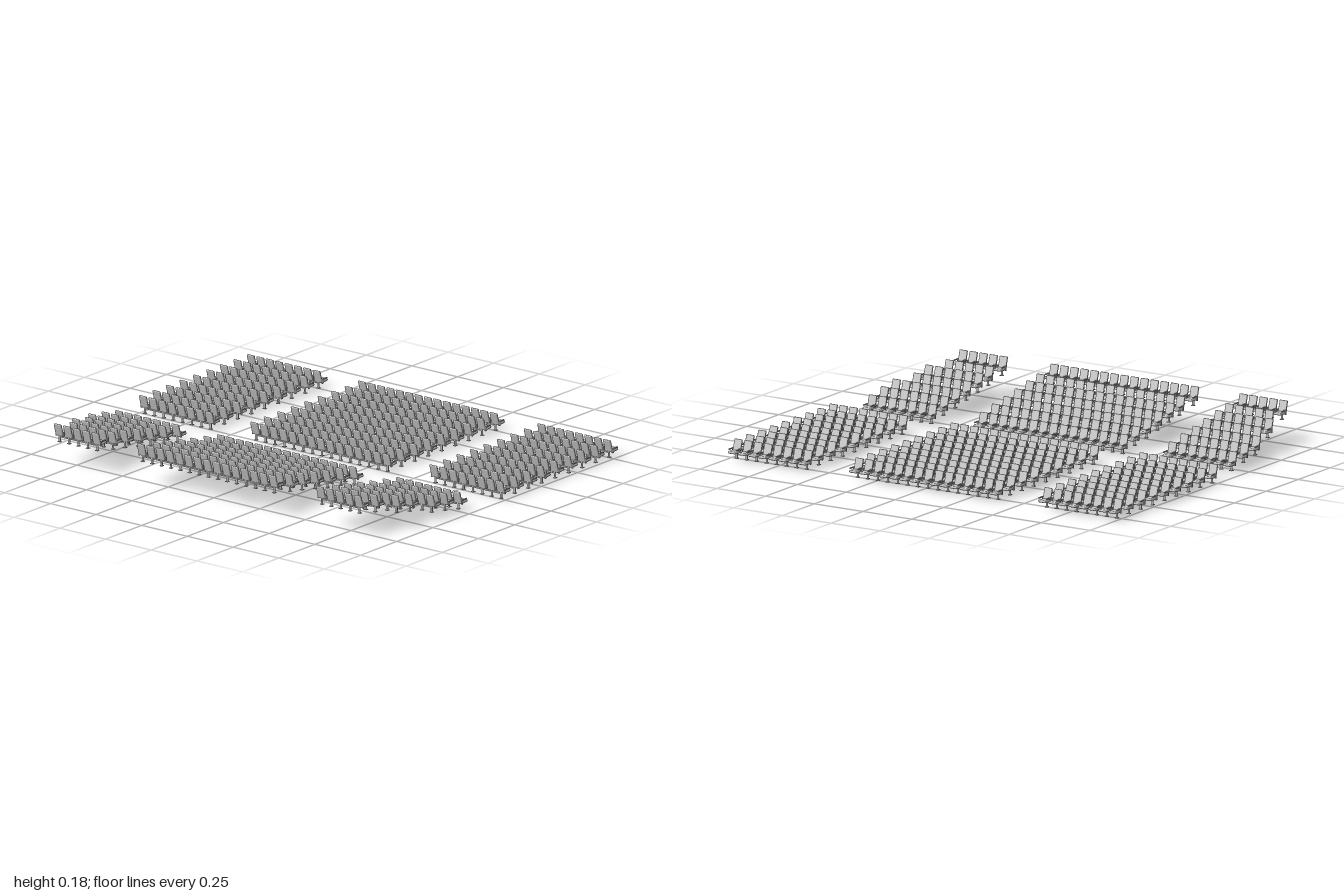
import * as THREE from 'three';
import { mergeGeometries } from 'three/addons/utils/BufferGeometryUtils.js';
import { RoundedBoxGeometry } from 'three/addons/geometries/RoundedBoxGeometry.js';

const PITCH = 0.0514; // seat spacing along a row

const box = (w, h, d, x, y, z) => new THREE.BoxGeometry(w, h, d).translate(x, y, z);

// Parts of one seat facing +x, rear edge at x = 0, standing on y = 0
function seatParts() {
  const backrest = new RoundedBoxGeometry(0.009, 0.058, 0.041, 1, 0.004)
    .rotateZ(0.27).translate(0.0125, 0.055, 0);
  const cushion = new RoundedBoxGeometry(0.044, 0.012, 0.039, 1, 0.005)
    .rotateZ(0.06).translate(0.04, 0.032, 0);
  const armrests = mergeGeometries([-1, 1].flatMap((s) => [
    box(0.036, 0.005, 0.005, 0.034, 0.044, s * 0.02),
    box(0.008, 0.02, 0.004, 0.021, 0.034, s * 0.02),
  ]));
  const pedestal = mergeGeometries([
    new THREE.CylinderGeometry(0.005, 0.005, 0.028, 6).translate(0.02, 0.016, 0),
    box(0.014, 0.003, 0.014, 0.02, 0.0015, 0),
  ]);
  return { backrest, cushion, armrests, pedestal };
}

export function createModel() {
  const model = new THREE.Group();
  model.name = 'seatingBlocks';
  const material = new THREE.MeshStandardMaterial({ color: 0xcccccc });
  const parts = seatParts();

  // One row of seats, merged part by part, with a beam linking the seats
  function addRow(name, x, y, zStart, count) {
    const row = new THREE.Group();
    row.name = name;
    for (const [part, geometry] of Object.entries(parts)) {
      const copies = Array.from({ length: count }, (_, i) =>
        geometry.clone().translate(0, 0, zStart + i * PITCH));
      const mesh = new THREE.Mesh(mergeGeometries(copies), material);
      mesh.name = part;
      row.add(mesh);
    }
    const length = (count - 1) * PITCH;
    const beam = new THREE.Mesh(box(0.008, 0.005, length, 0.02, 0.024, zStart + length / 2), material);
    beam.name = 'beam';
    row.add(beam);
    row.position.set(x, y, 0);
    model.add(row);
  }

  // A centre section and two side sections, the sides growing outwards
  function addRank(name, x, y, sideCount) {
    addRow(name + 'Centre', x, y, -0.008 - 7 * PITCH, 15);
    addRow(name + 'Right', x, y, -0.617 - (sideCount - 1) * PITCH, sideCount);
    addRow(name + 'Left', x, y, 0.613, sideCount);
  }

  // Level rows
  for (let i = 0; i < 9; i++) addRank('levelRow' + (i + 1), -0.013 + i * 0.0932, 0, 8);

  // Raised rows: x, floor height, seats in each side section
  const raised = [
    [-0.797, 0.098, 5], [-0.688, 0.077, 5], [-0.606, 0.064, 6], [-0.515, 0.047, 6],
    [-0.429, 0.031, 7], [-0.337, 0.017, 7], [-0.244, 0, 7],
  ];
  raised.forEach(([x, y, n], i) => addRank('raisedRow' + (i + 1), x, y, n));
  return model;
}
